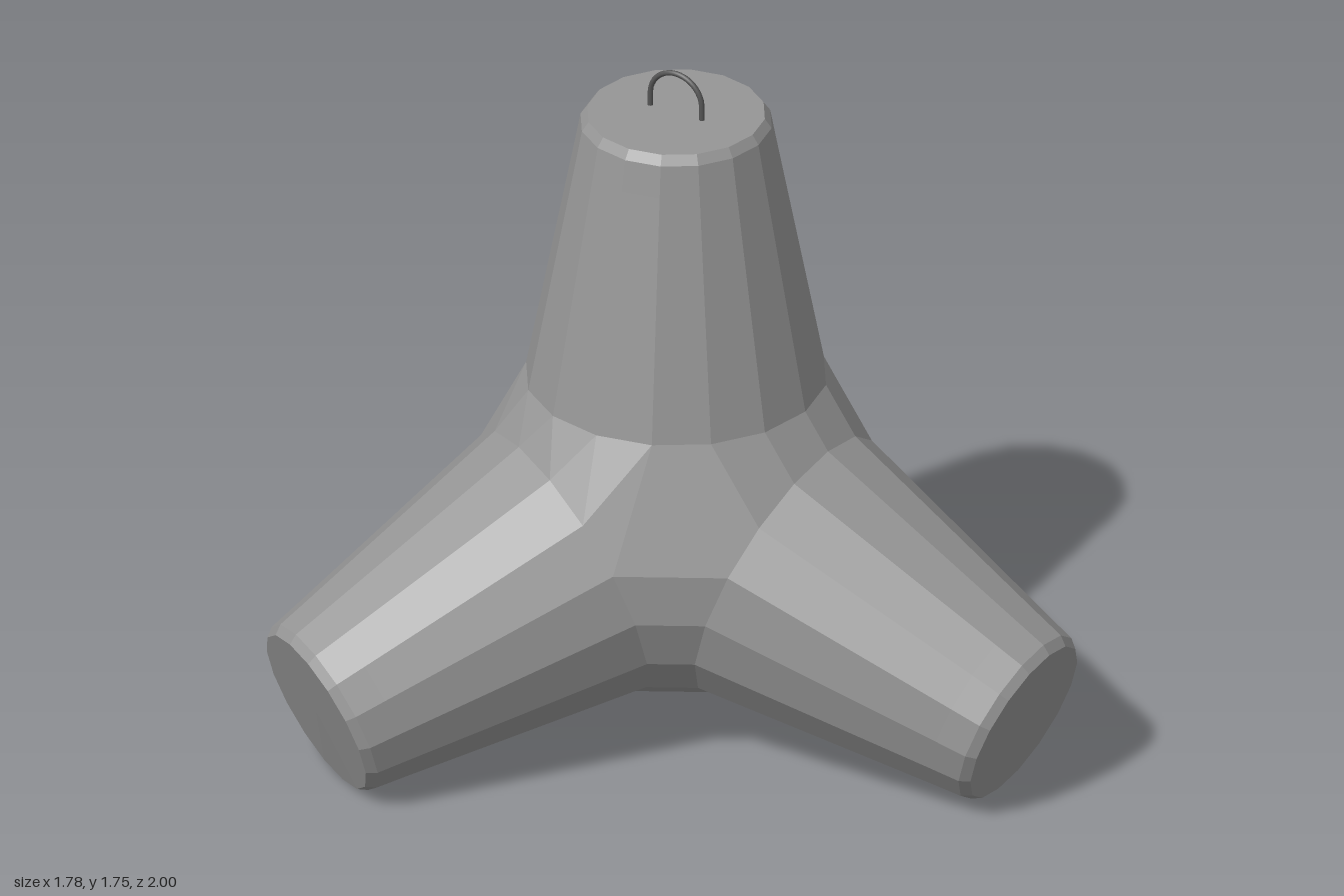
import * as THREE from 'three';
import { ConvexGeometry } from 'three/addons/geometries/ConvexGeometry.js';

const SIDES = 16;
const CENTRE = new THREE.Vector3(-0.19, 0.565, 0);
const ROOT = { r: 0.375, d: 0.335 };

// radius and distance from the centre along a leg
const PROFILE = [
  [ROOT.r, ROOT.d], [0.254, 0.965], [0.239, 1.046], [0.222, 1.07], [0, 1.07],
].map(([r, d]) => new THREE.Vector2(r, d));

// four directions of a tetrahedron: one up, three spread around
function legMatrices() {
  const tilt = new THREE.Matrix4().makeRotationZ(-Math.acos(-1 / 3));
  const shift = new THREE.Matrix4().makeTranslation(CENTRE.x, CENTRE.y, CENTRE.z);
  const list = [shift.clone()];
  for (let i = 0; i < 3; i++) {
    const turn = new THREE.Matrix4().makeRotationY((i * Math.PI * 2) / 3);
    list.push(shift.clone().multiply(turn).multiply(tilt));
  }
  return list;
}

// tapered leg with a chamfered end, worn flat where it rests on the ground
function legGeometry(matrix) {
  const geo = new THREE.LatheGeometry(PROFILE, SIDES).toNonIndexed();
  geo.applyMatrix4(matrix);
  const pos = geo.attributes.position;
  for (let i = 0; i < pos.count; i++) pos.setY(i, Math.max(0, pos.getY(i)));
  geo.computeVertexNormals();
  return geo;
}

// core hull stretched over the root rings of all legs
function coreGeometry(matrices) {
  const points = [];
  for (const m of matrices) {
    for (let i = 0; i < SIDES; i++) {
      const a = (i / SIDES) * Math.PI * 2;
      points.push(new THREE.Vector3(ROOT.r * Math.sin(a), ROOT.d, ROOT.r * Math.cos(a)).applyMatrix4(m));
    }
  }
  return new ConvexGeometry(points);
}

// bent bar: straight ends joined by a half circle
function loopGeometry() {
  const path = new THREE.CurvePath();
  const r = 0.075, low = 1.61, mid = 1.668;
  const at = (x, y) => new THREE.Vector3(CENTRE.x + x, y, 0);
  const arc = [];
  for (let i = 0; i <= 12; i++) {
    const a = Math.PI * (1 - i / 12);
    arc.push(at(r * Math.cos(a), mid + r * Math.sin(a)));
  }
  path.add(new THREE.LineCurve3(at(-r, low), at(-r, mid)));
  path.add(new THREE.CatmullRomCurve3(arc));
  path.add(new THREE.LineCurve3(at(r, mid), at(r, low)));
  return new THREE.TubeGeometry(path, 32, 0.007, 8);
}

export function createModel() {
  const concrete = new THREE.MeshStandardMaterial({ color: 0x959595 });
  concrete.name = 'concrete';
  const steel = new THREE.MeshStandardMaterial({ color: 0x555555 });
  steel.name = 'steel';

  const model = new THREE.Group();
  model.name = 'breakwaterBlock';
  const add = (name, geo, mat) => {
    const mesh = new THREE.Mesh(geo, mat);
    mesh.name = name;
    model.add(mesh);
  };

  const matrices = legMatrices();
  const names = ['topLeg', 'leftLeg', 'backRightLeg', 'frontRightLeg'];
  add('core', coreGeometry(matrices), concrete);
  matrices.forEach((m, i) => add(names[i], legGeometry(m), concrete));
  add('liftingLoop', loopGeometry(), steel);
  return model;
}
